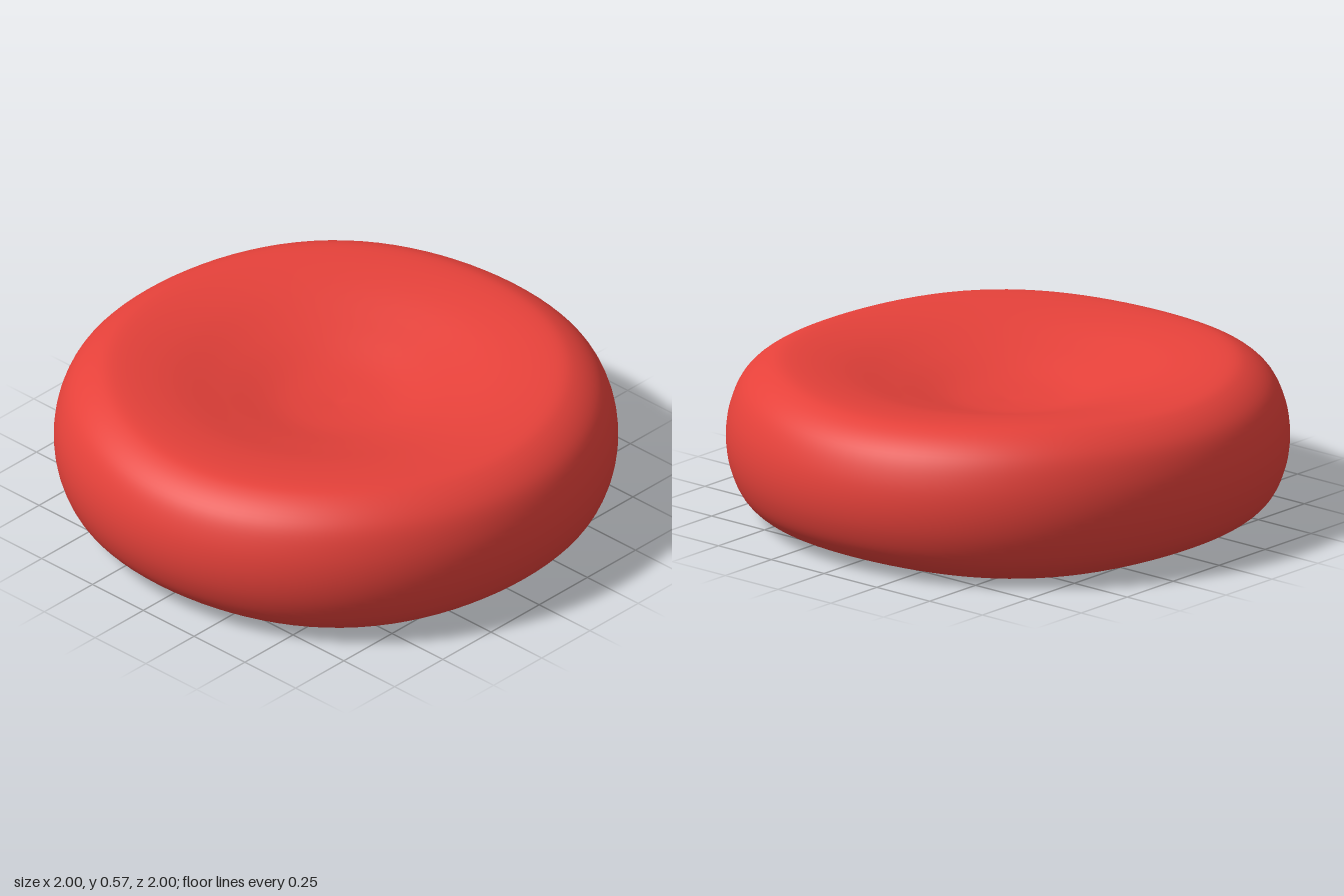
import * as THREE from 'three';
import { mergeVertices } from 'three/addons/utils/BufferGeometryUtils.js';

const MID = 0.287; // height of the mid plane

export function createModel() {
  const group = new THREE.Group();
  group.name = 'biconcaveDisc';

  // Upper half of the section: dimple, rounded rim, outer edge
  const upper = [
    [0, 0.13], [0.2, 0.147], [0.4, 0.2], [0.6, 0.255], [0.77, 0.277],
    [0.86, 0.259], [0.94, 0.198], [0.985, 0.105],
  ];
  const lower = upper.map(([r, y]) => [r, -y]);
  const points = [...lower, [1, 0], ...upper.reverse()];
  const curve = new THREE.SplineCurve(points.map(([r, y]) => new THREE.Vector2(r, y)));
  const profile = curve.getPoints(96);
  profile.forEach((p) => { p.x = Math.max(0, p.x); });

  const lathe = new THREE.LatheGeometry(profile, 96);

  // Swell the rim slightly on the four diagonals
  const pos = lathe.attributes.position;
  for (let i = 0; i < pos.count; i++) {
    const x = pos.getX(i), y = pos.getY(i), z = pos.getZ(i);
    const r = Math.hypot(x, z);
    const wave = -Math.cos(4 * Math.atan2(z, x)) * Math.min(1, r * r * 1.6);
    const spread = 1 + 0.004 * (wave + Math.min(1, r * r * 1.6));
    pos.setXYZ(i, x * spread, MID + y * (1 + 0.027 * wave), z * spread);
  }

  // Weld the seam and poles for smooth normals
  lathe.deleteAttribute('uv');
  lathe.deleteAttribute('normal');
  const geometry = mergeVertices(lathe, 1e-5);
  geometry.computeVertexNormals();

  const disc = new THREE.Mesh(geometry, new THREE.MeshStandardMaterial({ color: 0xe5413a }));
  disc.name = 'disc';
  group.add(disc);
  return group;
}
